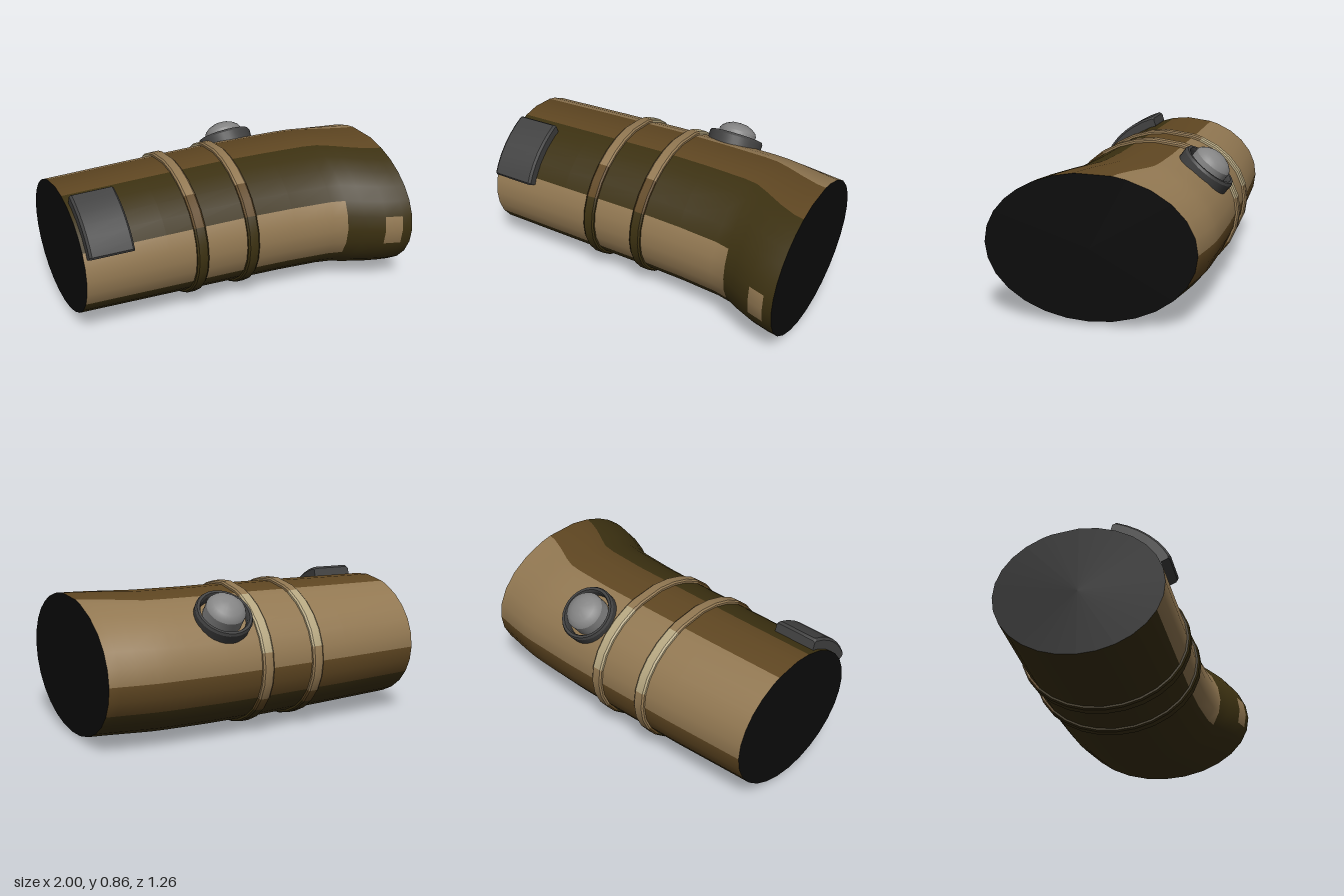
import * as THREE from 'three';
import { toCreasedNormals } from 'three/addons/utils/BufferGeometryUtils.js';

const flat = (name, color) => {
  const m = new THREE.MeshStandardMaterial({ color });
  m.name = name;
  return m;
};
const DEG = Math.PI / 180;

// Sleeve stations: x, back z, front z, bottom y, top y
const STATIONS = [
  [-1, -0.59, 0.37, 0.05, 0.82], [-0.5, -0.605, 0.385, 0.035, 0.83],
  [0, -0.61, 0.40, 0.022, 0.84], [0.3, -0.61, 0.42, 0.02, 0.84],
  [0.55, -0.603, 0.45, 0.02, 0.842], [0.64, -0.60, 0.475, 0.02, 0.842],
  [0.72, -0.595, 0.525, 0.02, 0.842], [0.84, -0.578, 0.585, 0.02, 0.842],
  [0.94, -0.56, 0.618, 0.02, 0.842], [1, -0.55, 0.63, 0.02, 0.842],
];

// Point on the sleeve at x and angle t (0 = front, 90 degrees = top), pushed out by off
function surface(x, t, off = 0) {
  let i = 0;
  while (i < STATIONS.length - 2 && x > STATIONS[i + 1][0]) i++;
  const p = STATIONS[i], q = STATIONS[i + 1], f = (x - p[0]) / (q[0] - p[0]);
  const [zb, zf, y0, y1] = [1, 2, 3, 4].map((k) => p[k] + (q[k] - p[k]) * f);
  const a = (zf - zb) / 2, b = (y1 - y0) / 2;
  // colour seams on top drift forward over the flare
  const w = t - 0.13 * THREE.MathUtils.smoothstep(x, 0.6, 1) * Math.max(0, Math.sin(t)) ** 3;
  const ny = Math.sin(w) / b, nz = Math.cos(w) / a, n = Math.hypot(ny, nz);
  return [x, (y0 + y1) / 2 + b * Math.sin(w) + (off * ny) / n,
    (zf + zb) / 2 + a * Math.cos(w) + (off * nz) / n];
}

// Skin over rows of angles (degrees) and columns of profile points; pick() gives a material index
function skin(rows, cols, pointAt, closed, pick) {
  const pos = [], buckets = [], n = cols.length;
  rows.forEach((t, r) => cols.forEach((c) => pos.push(...pointAt(c, t * DEG, r))));
  const last = closed ? rows.length : rows.length - 1;
  for (let r = 0; r < last; r++) {
    const s = (r + 1) % rows.length;
    const t = (rows[r] + (s ? rows[s] : rows[0] + 360)) / 2;
    for (let c = 0; c < n - 1; c++) {
      const m = pick((cols[c][0] + cols[c + 1][0]) / 2, t);
      const A = r * n + c, D = s * n + c;
      (buckets[m] ??= []).push(A, A + 1, D + 1, A, D + 1, D);
    }
  }
  const g = new THREE.BufferGeometry(), index = [];
  g.setAttribute('position', new THREE.Float32BufferAttribute(pos, 3));
  buckets.forEach((b, m) => {
    g.addGroup(index.length, b.length, m);
    index.push(...b);
  });
  g.setIndex(index);
  return toCreasedNormals(g, 0.6);
}

export function createModel() {
  const group = new THREE.Group();
  const tan = flat('tan', 0x927852), brown = flat('brown', 0x604722);
  const olive = flat('darkOlive', 0x3c3111), cream = flat('cream', 0xb5a680);
  const charcoal = flat('charcoal', 0x414141), grey = flat('grey', 0x858585);
  const black = flat('black', 0x0b0b0b);
  const cloth = [tan, brown, olive, cream];
  const add = (name, geometry, material) => {
    const m = new THREE.Mesh(geometry, material);
    m.name = name;
    group.add(m);
    return m;
  };

  // Sleeve with lengthwise colour bands
  const angles = Array.from({ length: 28 }, (_, i) => (i === 8 ? 109 : (i * 360) / 28));
  const sleeveColour = (x, t) => {
    if (t < 26 || t > 334) {
      const patch = x > 0.84 && x < 0.94 && (t < 13 || t > 347);
      return x < 0.64 || patch ? 0 : 2;
    }
    if (t < 78) return 2;
    if (t < 109) return 1;
    if (t < 180) return 0;
    return t < 206 ? 1 : 2;
  };
  add('sleeve', skin(angles, STATIONS.map((s) => [s[0], 0]),
    ([x, o], t) => surface(x, t, o), true, sleeveColour), cloth);

  // Dark flat ends
  for (const side of [-1, 1]) {
    const pos = [side, 0.43, side > 0 ? 0.04 : -0.11], index = [];
    angles.forEach((t, i) => {
      pos.push(...surface(side, t * DEG));
      const j = (i + 1) % angles.length;
      index.push(0, ...(side > 0 ? [j + 1, i + 1] : [i + 1, j + 1]));
    });
    const g = new THREE.BufferGeometry();
    g.setAttribute('position', new THREE.Float32BufferAttribute(pos, 3));
    g.setIndex(index);
    g.computeVertexNormals();
    add(side > 0 ? 'leftEnd' : 'rightEnd', g, black);
  }

  // Two raised bands, leaning slightly
  const bandColour = (x, t) => {
    if (t < 30 || t > 218) return 2;
    if (t < 55 || t > 200) return 1;
    return t > 115 && t < 165 ? 3 : 0;
  };
  const bandProfile = [[-0.036, -0.01], [-0.036, 0.012], [-0.026, 0.02],
    [0.026, 0.02], [0.036, 0.012], [0.036, -0.01]];
  for (const [name, x0, lean] of [['outerBand', -0.294, 0.005], ['innerBand', 0.038, 0.012]]) {
    add(name, skin(angles, bandProfile,
      ([x, o], t) => surface(x0 + x - lean * Math.cos(t), t, o), true, bandColour), cloth);
  }

  // Curved plate on the upper front
  const plateRows = [20, 20, 21.5, 28, 36, 44, 52, 60, 67.5, 69, 69];
  const plateProfile = [[-0.98, -0.01], [-0.98, 0.052], [-0.967, 0.065],
    [-0.728, 0.065], [-0.715, 0.052], [-0.715, -0.01]];
  const plateScale = (r) => {
    const edge = Math.min(r, plateRows.length - 1 - r);
    return edge === 0 ? 0 : edge === 1 ? 0.8 : 1;
  };
  add('curvedPlate', skin(plateRows, plateProfile,
    ([x, o], t, r) => surface(x, t, o * plateScale(r)), false, () => 0), [charcoal]);

  // Round fitting on the upper back: raised rim and domed button
  const fitting = new THREE.Group();
  fitting.name = 'roundFitting';
  fitting.position.set(0.26, 0.725, -0.454);
  fitting.quaternion.setFromUnitVectors(new THREE.Vector3(0, 1, 0),
    new THREE.Vector3(0, 0.79, -0.62).normalize());
  const lathe = (name, pts, material) => {
    const g = new THREE.LatheGeometry(pts.map((p) => new THREE.Vector2(...p)), 28);
    const m = new THREE.Mesh(toCreasedNormals(g, 0.5), material);
    m.name = name;
    fitting.add(m);
  };
  lathe('rim', [[0.168, -0.07], [0.172, 0.03], [0.164, 0.045], [0.148, 0.045], [0.14, 0.03], [0.14, -0.05]], charcoal);
  lathe('dome', [[0.118, -0.03], [0.118, 0.07], [0.108, 0.088], [0.085, 0.106], [0.05, 0.122], [0, 0.128]], grey);
  group.add(fitting);

  return group;
}
